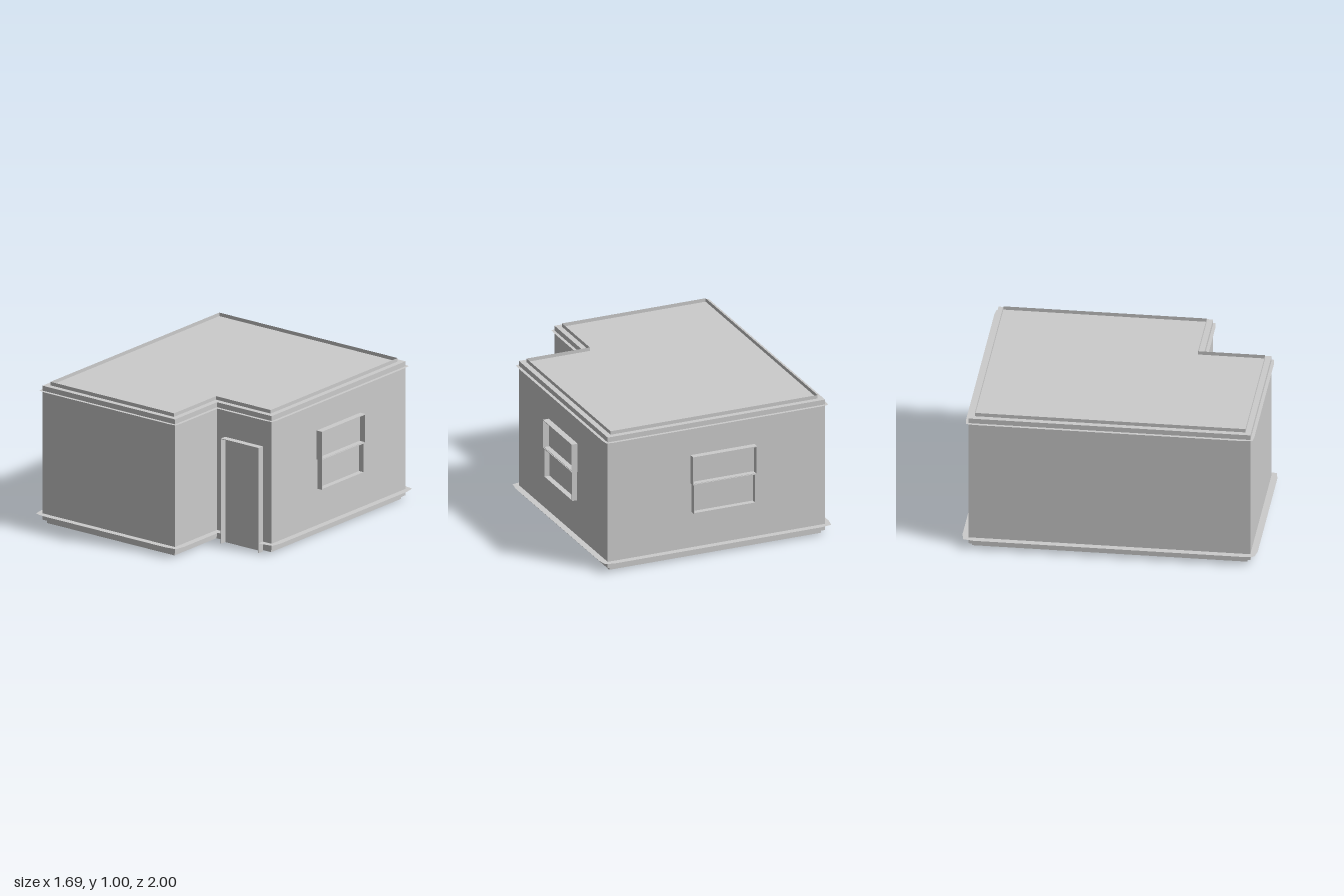
import * as THREE from 'three';

// Floor plan of the L-shaped room, as (x, z) corners
const PLAN = [[-0.8, -0.952], [0.8, -0.952], [0.8, 0.5], [0.333, 0.5], [0.333, 0.955], [-0.8, 0.955]]
  .map(([x, z]) => new THREE.Vector2(x, z));
const DOOR = { x0: 0.402, x1: 0.725, top: 0.745 };

// Plan grown by d (shrunk when negative); blunt pulls outer corners in
function offsetPlan(d, blunt = false) {
  const out = [];
  PLAN.forEach((p, i) => {
    const n = PLAN.length;
    const a = p.clone().sub(PLAN[(i + n - 1) % n]).normalize();
    const b = PLAN[(i + 1) % n].clone().sub(p).normalize();
    const na = new THREE.Vector2(a.y, -a.x), nb = new THREE.Vector2(b.y, -b.x);
    const at = (u, v) => p.clone().addScaledVector(na, u).addScaledVector(nb, v);
    if (blunt && a.cross(b) > 0) out.push(at(d, -0.04), at(d * 0.7, d * 0.7), at(-0.04, d));
    else out.push(at(d, d));
  });
  return out;
}

// Upright sheet following a closed outline
function sheetRing(pts, y0, y1) {
  const pos = [];
  pts.forEach((p, i) => {
    const q = pts[(i + 1) % pts.length];
    pos.push(p.x, y0, p.y, p.x, y1, p.y, q.x, y1, q.y);
    pos.push(p.x, y0, p.y, q.x, y1, q.y, q.x, y0, q.y);
  });
  const g = new THREE.BufferGeometry();
  g.setAttribute('position', new THREE.Float32BufferAttribute(pos, 3));
  g.computeVertexNormals();
  return g;
}

// Flat ledge between the wall and an outer outline
function ledge(outer, y) {
  const s = new THREE.Shape(outer);
  s.holes.push(new THREE.Path(offsetPlan(-0.002)));
  return new THREE.ShapeGeometry(s).rotateX(Math.PI / 2).translate(0, y, 0);
}

export function createModel() {
  const model = new THREE.Group();
  model.name = 'room';
  const plaster = new THREE.MeshStandardMaterial({ color: 0xcccccc, side: THREE.DoubleSide });
  plaster.name = 'plaster grey';
  const add = (name, geo, parent = model) => {
    const m = new THREE.Mesh(geo, plaster);
    m.name = name;
    parent.add(m);
    return m;
  };
  const box = (name, parent, x0, x1, y0, y1, z0, z1) =>
    add(name, new THREE.BoxGeometry(x1 - x0, y1 - y0, z1 - z0)
      .translate((x0 + x1) / 2, (y0 + y1) / 2, (z0 + z1) / 2), parent);

  // Walls with floor and ceiling
  add('walls', new THREE.ExtrudeGeometry(new THREE.Shape(PLAN), { depth: 0.95, bevelEnabled: false })
    .rotateX(Math.PI / 2).translate(0, 0.975, 0));

  // Ceiling moulding: raised rim and narrow ledge
  add('crownRim', sheetRing(offsetPlan(-0.038), 0.94, 1));
  add('crownLedge', ledge(offsetPlan(0.022, true), 0.94));

  // Skirting: lower rim and wide ledge, interrupted at the door
  add('baseRim', sheetRing(offsetPlan(-0.022), 0, 0.07));
  const base = offsetPlan(0.045, true);
  const inner = base.findIndex(p => Math.abs(p.x - 0.378) < 0.01 && Math.abs(p.y - 0.545) < 0.01);
  base.splice(inner, 0,
    new THREE.Vector2(DOOR.x1, 0.545), new THREE.Vector2(DOOR.x1, 0.5),
    new THREE.Vector2(DOOR.x0, 0.5), new THREE.Vector2(DOOR.x0, 0.545));
  add('baseLedge', ledge(base, 0.07));

  // Door panel and its casing
  const door = new THREE.Group();
  door.name = 'door';
  model.add(door);
  const { x0, x1, top } = DOOR;
  box('doorPanel', door, x0, x1, 0, top, 0.498, 0.504);
  box('doorHead', door, x0, x1, top - 0.005, top, 0.5, 0.545);
  for (const x of [x0, x1 - 0.005]) box('doorJamb', door, x, x + 0.005, 0, top, 0.5, 0.548);

  // Sash window, built facing +z around its own centre line
  const makeWindow = (name) => {
    const w = new THREE.Group();
    w.name = name;
    const t = 0.005;
    const frame = (part, half, y0, y1, depth) => {
      for (const s of [-1, 1]) {
        const x = s * (half - t / 2);
        box(part + 'Side', w, x - t / 2, x + t / 2, y0, y1, 0, depth);
      }
      for (const y of [y0, y1 - t]) box(part + 'Rail', w, -half, half, y, y + t, 0, depth);
    };
    frame('upperSash', 0.236, 0.537, 0.742, 0.044);
    frame('lowerSash', 0.228, 0.327, 0.545, 0.038);
    model.add(w);
    return w;
  };
  const side = makeWindow('sideWindow');
  side.position.set(0.8, 0, -0.225);
  side.rotation.y = Math.PI / 2;
  const back = makeWindow('backWindow');
  back.position.set(-0.045, 0, -0.952);
  back.rotation.y = Math.PI;

  return model;
}
